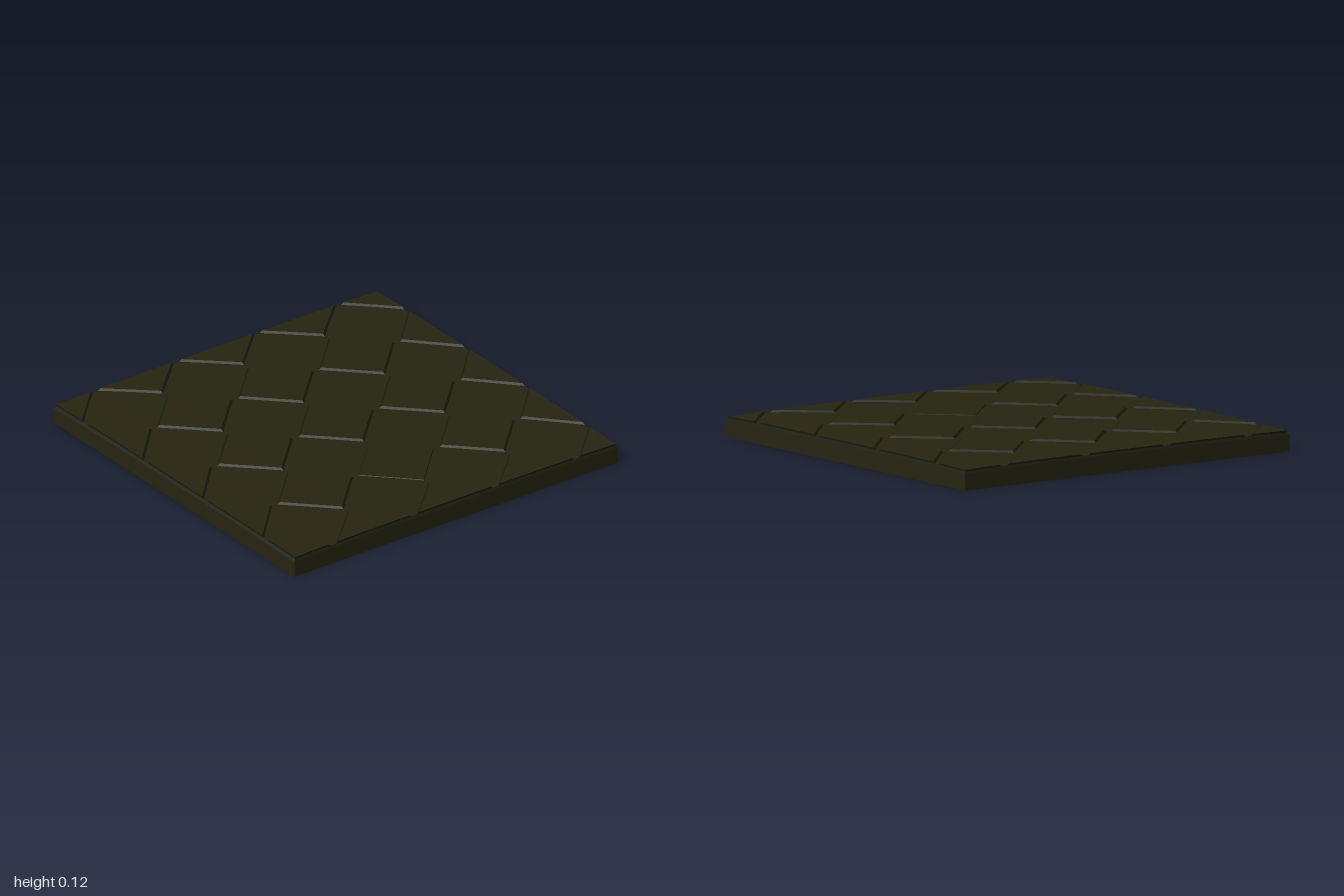
import * as THREE from 'three';

const EDGE = 0.99; // top surface stops here, the rim bevel covers the rest
const SEG = 24;

// Worn top surface: nearly level, sinking slightly to the rim and corners
function surface(x, z) {
  const a = x ** 4, b = z ** 4;
  return 0.106 - 0.005 * Math.max(a, b) - 0.008 * a * b;
}

// Slab with bevelled rim: box rows become side wall and bevel
function slabGeometry() {
  const box = new THREE.BoxGeometry(2, 2, 2, SEG, 2, SEG);
  const p = box.attributes.position;
  for (let i = 0; i < p.count; i++) {
    const x = p.getX(i), y = p.getY(i), z = p.getZ(i);
    const h = surface(x, z);
    if (y > 0.5) p.setXYZ(i, x * EDGE, h, z * EDGE);
    else if (y > -0.5) p.setY(i, h - 0.012);
    else p.setY(i, 0);
  }
  const faces = box.groups.map((g) => ({ ...g }));
  box.clearGroups();
  faces.forEach(({ start, count }, i) => {
    if (i === 2 || i === 3) box.addGroup(start, count, 0);
    else {
      box.addGroup(start, count / 2, 1);
      box.addGroup(start + count / 2, count / 2, 0);
    }
  });
  const flat = box.toNonIndexed();
  flat.computeVertexNormals();
  return flat;
}

// Diamond tile with sloping sides, cut off where it meets the rim
function tileGeometry(cx, cz, outer, inner, height) {
  const clamp = (v) => THREE.MathUtils.clamp(v, -EDGE, EDGE);
  const point = (r, k, lift) => {
    const a = (k * Math.PI) / 2;
    const x = clamp(cx + r * Math.sin(a)), z = clamp(cz + r * Math.cos(a));
    return [x, surface(x, z) + lift, z];
  };
  const centre = point(0, 0, height);
  const top = [], sides = [];
  for (let k = 0; k < 4; k++) {
    const a = point(inner, k, height), b = point(inner, k + 1, height);
    const c = point(outer, k, -0.002), d = point(outer, k + 1, -0.002);
    top.push(...centre, ...a, ...b);
    sides.push(...c, ...d, ...b, ...c, ...b, ...a);
  }
  const g = new THREE.BufferGeometry();
  g.setAttribute('position', new THREE.Float32BufferAttribute([...top, ...sides], 3));
  g.addGroup(0, 12, 0);
  g.addGroup(12, 24, 1);
  g.computeVertexNormals();
  return g;
}

export function createModel() {
  const stone = new THREE.MeshStandardMaterial({ color: 0x262410 });
  stone.name = 'dark olive stone';
  const edge = new THREE.MeshStandardMaterial({ color: 0x181b0c });
  edge.name = 'dark green edge';
  const materials = [stone, edge];

  const model = new THREE.Group();
  model.name = 'floorSlab';

  const slab = new THREE.Mesh(slabGeometry(), materials);
  slab.name = 'slab';
  model.add(slab);

  // Diamond tiles on a half-unit grid; one lies flush with a thin dark seam
  const tiles = new THREE.Group();
  tiles.name = 'diamondTiles';
  for (let i = -2; i <= 2; i++) {
    for (let j = -2; j <= 2; j++) {
      const flush = i === 1 && j === 0;
      const geometry = flush
        ? tileGeometry(i / 2, j / 2, 0.237, 0.228, 0.003)
        : tileGeometry(i / 2, j / 2, 0.238, 0.219, 0.009);
      const tile = new THREE.Mesh(geometry, materials);
      tile.name = flush ? 'flushTile' : 'raisedTile';
      tiles.add(tile);
    }
  }
  model.add(tiles);
  return model;
}
